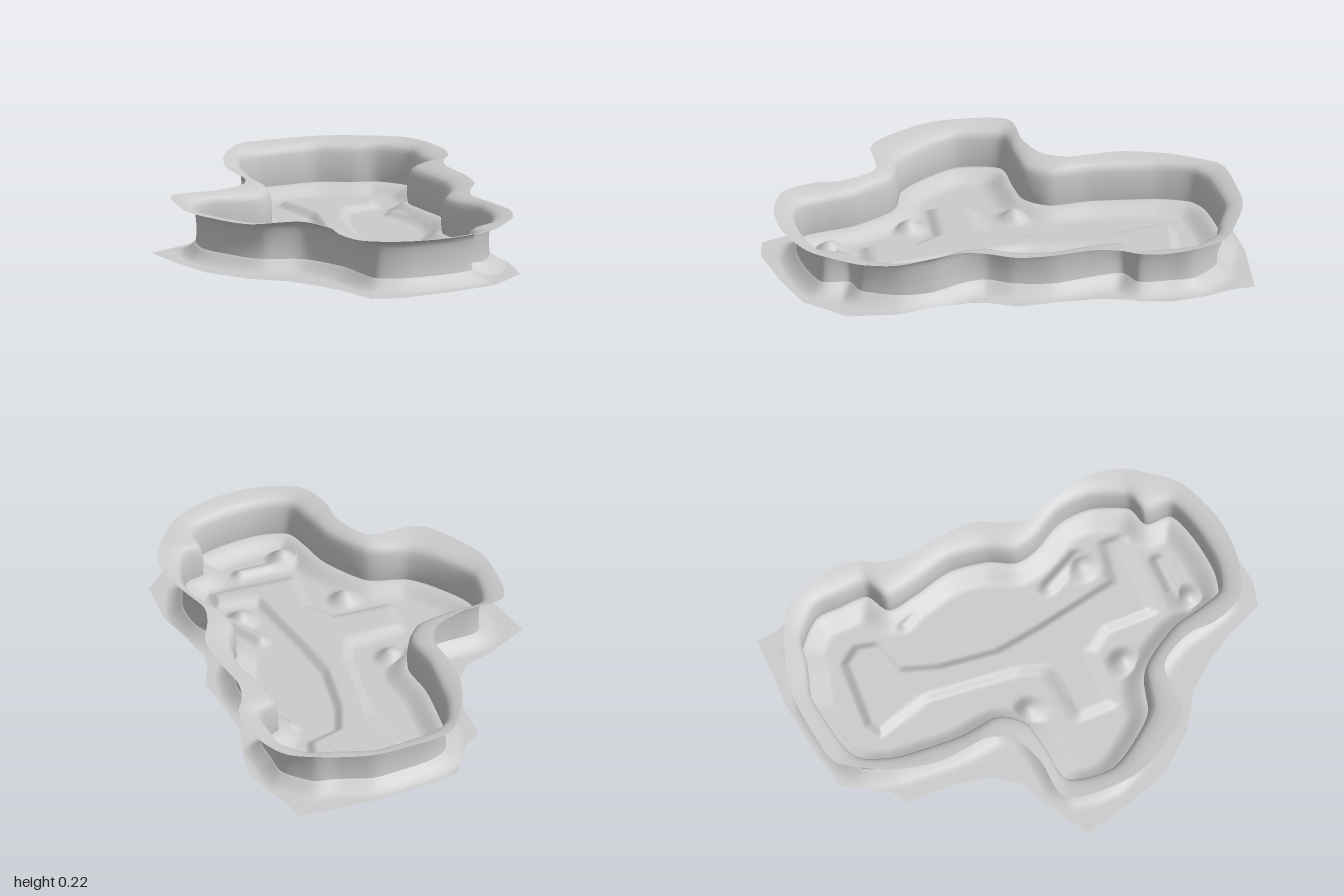
import * as THREE from 'three';

const STEPS = 8; // samples between neighbouring plan points

// Matching plan outlines as x, z pairs: point n of each belongs together
const wallPlan = [-.10, -.81, -.02, -.86, .14, -.89, .24, -.90, .38, -.86, .48, -.84, .58, -.74, .59, -.63, .59, -.51,
  .50, -.45, .52, -.32, .56, -.16, .54, 0, .49, .11, .51, .21, .58, .34, .59, .48, .53, .63, .44, .67, .43, .78,
  .30, .83, .14, .85, .02, .82, -.02, .72, -.06, .58, -.18, .41, -.34, .36, -.44, .26, -.53, .11, -.50, -.07,
  -.34, -.10, -.21, -.13, -.14, -.23, -.16, -.40, -.15, -.61, -.14, -.70];
const lipPlan = [-.14, -.86, -.07, -.94, .10, -.97, .27, -.98, .43, -.94, .59, -.87, .66, -.77, .70, -.62, .69, -.51,
  .65, -.43, .63, -.32, .66, -.14, .66, 0, .61, .12, .59, .22, .63, .35, .67, .50, .65, .63, .60, .72, .49, .85,
  .30, .93, .10, .94, -.06, .88, -.12, .75, -.13, .62, -.22, .48, -.43, .47, -.56, .31, -.62, .15, -.60, -.11,
  -.41, -.15, -.28, -.21, -.23, -.31, -.24, -.42, -.25, -.54, -.21, -.72];
const basePlan = [-.15, -.86, -.12, -.92, .06, -.96, .27, -.99, .60, -.99, .61, -.90, .66, -.78, .69, -.64, .68, -.53,
  .65, -.44, .63, -.34, .64, -.16, .66, 0, .61, .12, .60, .19, .63, .33, .67, .50, .66, .71, .62, .75, .51, .87,
  .30, .94, .07, .99, -.05, .97, -.12, .81, -.19, .70, -.29, .58, -.44, .49, -.58, .33, -.65, .13, -.70, -.06,
  -.50, -.18, -.40, -.22, -.32, -.33, -.29, -.48, -.29, -.69, -.22, -.74];

// Raised figure in the middle of the floor
const plateauPlan = [.03, -.68, .08, -.71, .36, -.70, .41, -.63, .39, -.55, .25, -.50, .20, -.35, .17, -.1, .2, .1,
  .24, .3, .27, .45, .44, .48, .44, .56, .09, .56, .09, .35, .02, .25, -.22, .25, -.22, .09, .02, .06,
  .06, -.05, .1, -.45];
// Low ridges and small mounds on the floor
const ridgePlans = [[.43, -.41, .51, -.27, .52, -.1], [.35, .2, .43, .36], [-.02, .72, .08, .67, .28, .66]];
const mounds = [[-.12, -.08], [-.07, .36], [.38, .36], [.08, .71]];

const pairs = (a) => Array.from({ length: a.length / 2 }, (_, i) => [a[2 * i], a[2 * i + 1]]);

// Closed outline through the plan points; tension 0 gives straight sides
function outline(plan, tension) {
  const pts = pairs(plan).map(([x, z]) => new THREE.Vector3(x, 0, z));
  const curve = new THREE.CatmullRomCurve3(pts, true, 'catmullrom', tension);
  return curve.getPoints(pts.length * STEPS).slice(0, -1).map((p) => [p.x, p.z]);
}

function distance(x, z, line, closed) {
  let best = Infinity;
  for (let k = 0; k < line.length - (closed ? 0 : 1); k++) {
    const p = line[k], q = line[(k + 1) % line.length];
    const ex = q[0] - p[0], ez = q[1] - p[1];
    const t = THREE.MathUtils.clamp(((x - p[0]) * ex + (z - p[1]) * ez) / (ex * ex + ez * ez), 0, 1);
    best = Math.min(best, Math.hypot(x - p[0] - t * ex, z - p[1] - t * ez));
  }
  return best;
}

function isInside(x, z, loop) {
  let hit = false;
  loop.forEach((p, k) => {
    const q = loop[(k + 1) % loop.length];
    if ((p[1] > z) !== (q[1] > z) && x < p[0] + (q[0] - p[0]) * (z - p[1]) / (q[1] - p[1])) hit = !hit;
  });
  return hit;
}

const mix = (p, q, t) => [THREE.MathUtils.lerp(p[0], q[0], t), THREE.MathUtils.lerp(p[1], q[1], t)];

// Surface of closed rows; point(row, i) returns [x, y, z]
function ringSurface(name, rows, segs, point) {
  const pos = [], index = [];
  for (let j = 0; j < rows; j++) {
    for (let i = 0; i < segs; i++) {
      pos.push(...point(j, i));
      if (j < rows - 1) {
        const n = (i + 1) % segs, b = j * segs, t = b + segs;
        index.push(b + i, b + n, t + i, b + n, t + n, t + i);
      }
    }
  }
  const geo = new THREE.BufferGeometry();
  geo.setAttribute('position', new THREE.Float32BufferAttribute(pos, 3));
  geo.setIndex(index);
  geo.computeVertexNormals();
  const mesh = new THREE.Mesh(geo, new THREE.MeshStandardMaterial({ color: 0xcccccc, side: THREE.DoubleSide }));
  mesh.name = name;
  return mesh;
}

export function createModel() {
  const group = new THREE.Group();
  group.name = 'shallowTray';
  const wall = outline(wallPlan, 0.4), lip = outline(lipPlan, 0.45), base = outline(basePlan, 0);
  const spine = wall.map(([, z]) => [0.14, THREE.MathUtils.clamp(z, -0.65, 0.68)]);
  const plateau = pairs(plateauPlan), ridges = ridgePlans.map(pairs);
  const bump = (d, w) => 1 - THREE.MathUtils.smoothstep(d, 0, w);

  // Floor height: swell by the wall, raised figure, ridges and mounds
  const inside = (x, z) => {
    let h = 0.042 * bump(distance(x, z, wall, true), 0.1);
    const edge = distance(x, z, plateau, true) * (isInside(x, z, plateau) ? 1 : -1);
    h = Math.max(h, 0.024 * THREE.MathUtils.smoothstep(edge, -0.025, 0.02));
    for (const line of ridges) h = Math.max(h, 0.024 * bump(distance(x, z, line, false), 0.045));
    for (const [mx, mz] of mounds) h = Math.max(h, 0.045 * bump(Math.hypot(x - mx, z - mz), 0.08));
    return 0.008 + h;
  };
  // Apron falls away from the wall in a hollow curve
  const outside = (x, z) => 0.05 * Math.max(0, 1 - distance(x, z, wall, true) / 0.07) ** 1.6;

  // Floor sheet, spreading from a central spine, with its outer apron
  const inner = 66, outer = 10;
  group.add(ringSurface('floorAndApron', inner + outer + 1, wall.length, (j, i) => {
    const onFloor = j <= inner;
    const [x, z] = onFloor ? mix(spine[i], wall[i], j / inner) : mix(wall[i], base[i], (j - inner) / outer);
    return [x, onFloor ? inside(x, z) : outside(x, z), z];
  }));

  // Upright wall curling out into a flat lip: share of the way to the lip, height
  const profile = [[.03, .035], [.0, .06], [-.02, .09], [-.01, .12], [.02, .15], [.06, .175], [.13, .193],
    [.25, .204], [.42, .212], [.62, .218], [.82, .222], [1, .225]];
  group.add(ringSurface('wallAndLip', profile.length, wall.length, (j, i) => {
    const [x, z] = mix(wall[i], lip[i], profile[j][0]);
    return [x, profile[j][1], z];
  }));
  return group;
}
